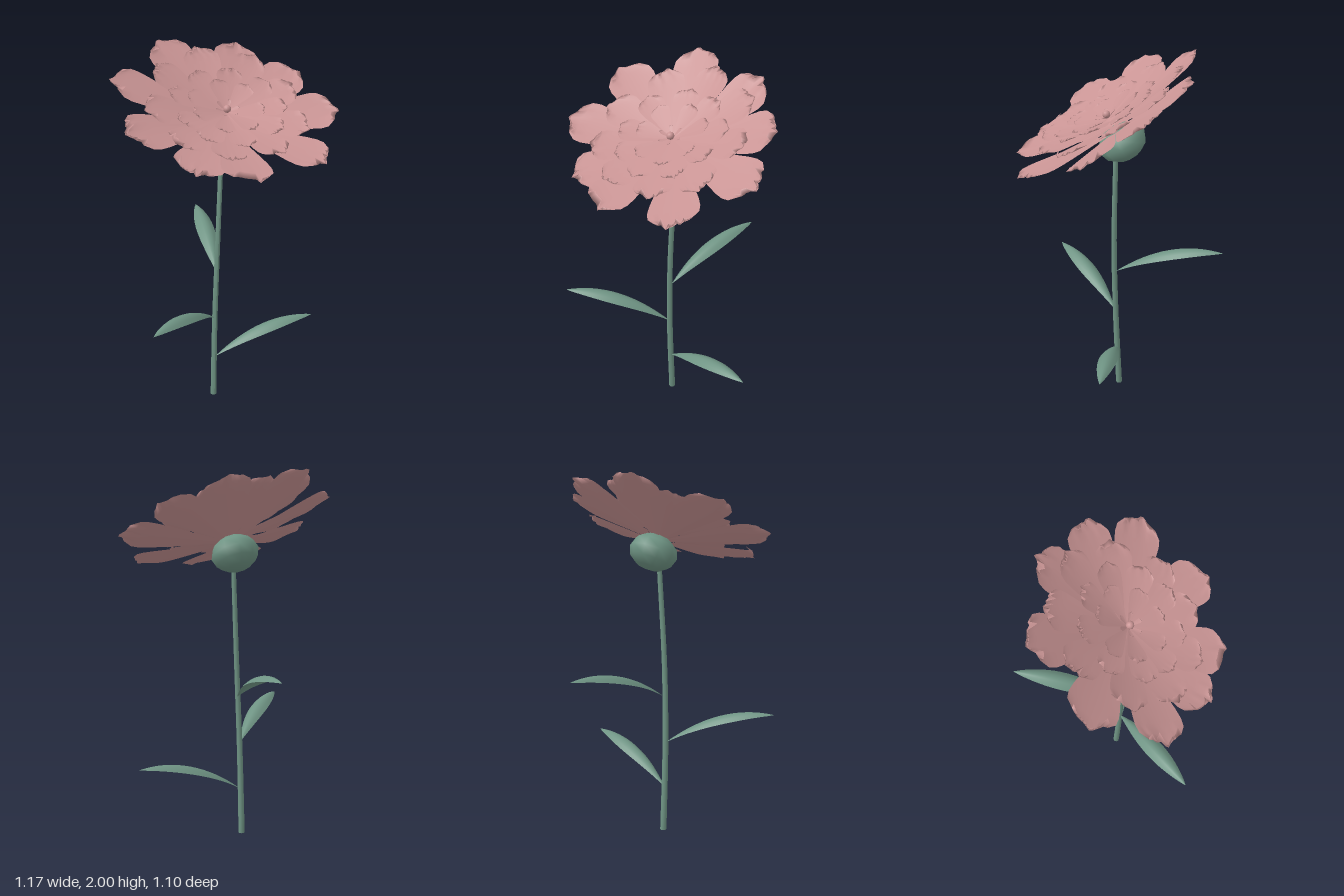
import * as THREE from 'three';
import { mergeGeometries } from 'three/addons/utils/BufferGeometryUtils.js';

const pink = new THREE.MeshStandardMaterial({ color: 0xc99494, side: THREE.DoubleSide });
pink.name = 'dusty pink';
const green = new THREE.MeshStandardMaterial({ color: 0x6f9484, side: THREE.DoubleSide });
green.name = 'sage green';

const rad = THREE.MathUtils.degToRad;

// Small seeded generator for petal variation
let seed = 7;
const rand = () => {
  seed = (seed * 16807) % 2147483647;
  return seed / 2147483647;
};

// Half-width along a petal, as [position, share of full width]
const petalProfile = [[0, 0.06], [0.2, 0.26], [0.4, 0.52], [0.6, 0.78], [0.76, 0.96], [0.87, 1], [0.94, 0.9], [1, 0.68]];

function profileAt(u) {
  for (let i = 1; i < petalProfile.length; i++) {
    const [u0, w0] = petalProfile[i - 1], [u1, w1] = petalProfile[i];
    if (u <= u1) return w0 + (w1 - w0) * (u - u0) / (u1 - u0);
  }
  return petalProfile.at(-1)[1];
}

// Flat wedge petal along +x with a pointed tip and a few folded-over bits
function petal(length, halfWidth) {
  const rows = 12, cols = 10;
  const geo = new THREE.PlaneGeometry(1, 2, rows, cols).rotateX(-Math.PI / 2);
  const p = geo.attributes.position;
  const fold = Array.from({ length: cols + 1 }, () => Math.max(0, rand() * 1.8 - 0.8));
  const peak = (rand() - 0.5) * 0.9;
  for (let i = 0; i < p.count; i++) {
    const s = p.getX(i) + 0.5, v = p.getZ(i);
    const f = fold[Math.round((v + 1) * cols / 2)];
    const u = Math.min(1, s * rows / (rows - 1));
    const tip = Math.max(0, (u - 0.8) / 0.2);
    let x = u * (1 + tip * (0.04 * Math.exp(-Math.pow((v - peak) * 4, 2)) - 0.045 * v * v - 0.012 * f));
    let y = 0.015 * u * v * v + tip * tip * 0.02 * f;
    if (s > 0.999) { // folded lip
      x -= 0.012 + 0.06 * f;
      y += 0.006 + 0.025 * f;
    }
    p.setXYZ(i, x * length, y * length, v * profileAt(u) * halfWidth);
  }
  geo.computeVertexNormals();
  return geo;
}

// One ring of [angle, length, cup angle] petals, lifted along the flower axis
function petalRing(name, petals, height, halfWidth) {
  const parts = petals.map(([angle, length, cup]) => petal(length, halfWidth)
    .rotateX((rand() - 0.5) * 0.18)
    .rotateZ(rad(cup))
    .rotateY(rad(angle))
    .translate(0, height, 0));
  const mesh = new THREE.Mesh(mergeGeometries(parts), pink);
  mesh.name = name;
  return mesh;
}

const evenPetals = (n, start, length, cup) => Array.from({ length: n }, (_, i) =>
  [start + i * 360 / n + (rand() - 0.5) * 10, length * (0.96 + 0.08 * rand()), cup + (rand() - 0.5) * 4]);

// Arched leaf growing along +x with drooping edges
function leafGeometry() {
  const geo = new THREE.PlaneGeometry(1, 2, 16, 6).rotateX(-Math.PI / 2);
  const p = geo.attributes.position;
  for (let i = 0; i < p.count; i++) {
    const t = p.getX(i) + 0.5, v = p.getZ(i);
    const w = Math.pow(Math.max(0, Math.sin(Math.PI * Math.pow(t, 1.1))), 0.85);
    p.setXYZ(i, t * 0.592, 0.475 * t - 0.293 * t * t - 0.032 * w * v * v, v * w * 0.052);
  }
  geo.computeVertexNormals();
  return geo;
}

export function createModel() {
  seed = 7;
  const model = new THREE.Group();
  model.name = 'flower';

  // Stem: tapered cylinder bent along a curve
  const path = new THREE.CatmullRomCurve3([
    new THREE.Vector3(-0.063, 0, 0.018),
    new THREE.Vector3(-0.06, 0.5, 0.036),
    new THREE.Vector3(-0.045, 0.95, 0.043),
    new THREE.Vector3(-0.015, 1.52, 0.03),
  ]);
  const stemGeo = new THREE.CylinderGeometry(0.013, 0.018, 1, 8, 16);
  const sp = stemGeo.attributes.position;
  for (let i = 0; i < sp.count; i++) {
    const c = path.getPoint(THREE.MathUtils.clamp(sp.getY(i) + 0.5, 0, 1));
    sp.setXYZ(i, c.x + sp.getX(i), c.y, c.z + sp.getZ(i));
  }
  stemGeo.computeVertexNormals();
  const stem = new THREE.Mesh(stemGeo, green);
  stem.name = 'stem';
  model.add(stem);

  // Leaves spiral up the stem by the golden angle
  const leafGeo = leafGeometry();
  [[-0.058, 0.258, 0.03, -6.6], [-0.06, 0.52, 0.038, -143.6], [-0.043, 0.787, 0.035, 79.6]].forEach(([x, y, z, a], i) => {
    const leaf = new THREE.Mesh(leafGeo, green);
    leaf.name = `leaf${i + 1}`;
    leaf.position.set(x, y, z);
    leaf.rotation.y = rad(a);
    model.add(leaf);
  });

  // Flower head, tipped toward the front
  const head = new THREE.Group();
  head.name = 'flowerHead';
  head.position.set(-0.005, 1.63, 0.03);
  head.rotation.x = rad(28);
  model.add(head);

  const receptacle = new THREE.Mesh(new THREE.SphereGeometry(0.13, 10, 6).scale(1, 0.74, 1), green);
  receptacle.name = 'receptacle';
  receptacle.position.set(0, -0.064, -0.004);
  head.add(receptacle);

  // Petal rings from the outside in
  const outer = [
    [-8, 0.59, 9], [26, 0.54, 11], [62, 0.53, 12], [110, 0.56, 13.5], [154, 0.59, 14],
    [194, 0.59, 14], [231, 0.52, 11.5], [262, 0.52, 13], [310, 0.565, 10.5],
  ];
  const second = [
    [91, 0.45, 13], [52, 0.445, 13], [13, 0.42, 12], [-28, 0.42, 11.5], [-67, 0.395, 13],
    [-108, 0.395, 14], [-146, 0.42, 13], [175, 0.43, 14], [131, 0.435, 14],
  ];
  head.add(
    petalRing('outerPetals', outer, 0, 0.128),
    petalRing('secondPetals', second, 0.03, 0.1),
    petalRing('thirdPetals', evenPetals(9, 30, 0.3, 13), 0.058, 0.072),
    petalRing('innerPetals', evenPetals(7, 90, 0.2, 13), 0.076, 0.052),
    petalRing('centreRays', evenPetals(6, 60, 0.07, 24), 0.08, 0.011),
  );

  // Small round centre
  const core = new THREE.Mesh(new THREE.SphereGeometry(0.02, 10, 8), pink);
  core.name = 'core';
  core.position.y = 0.1;
  head.add(core);

  return model;
}
